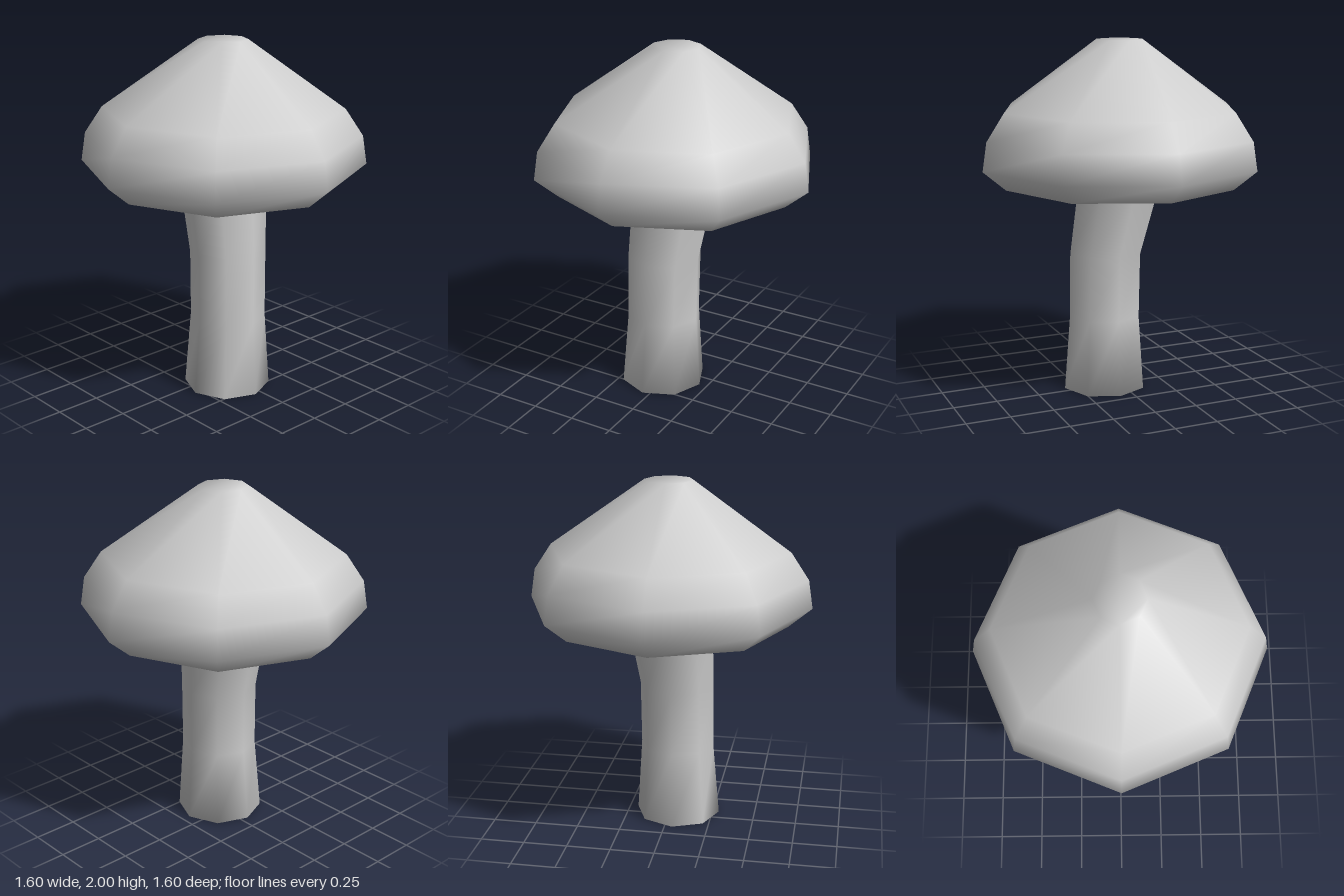
import * as THREE from 'three';

const SIDES = 8;

// Smooth skin over octagonal rings [y, radius, centreX, centreZ], listed bottom to top
function ringSkin(rings) {
  const pos = [], index = [];
  for (const [y, r, cx, cz] of rings) {
    for (let i = 0; i < SIDES; i++) {
      const a = (i / SIDES) * Math.PI * 2;
      pos.push(cx + r * Math.sin(a), y, cz + r * Math.cos(a));
    }
  }
  for (let k = 0; k < rings.length - 1; k++) {
    for (let i = 0; i < SIDES; i++) {
      const j = (i + 1) % SIDES;
      const a = k * SIDES + i, b = k * SIDES + j;
      index.push(a, b, b + SIDES, a, b + SIDES, a + SIDES);
    }
  }
  // Close both ends with fans
  const top = (rings.length - 1) * SIDES;
  for (let i = 1; i < SIDES - 1; i++) {
    index.push(0, i + 1, i);
    index.push(top, top + i, top + i + 1);
  }
  const geo = new THREE.BufferGeometry();
  geo.setAttribute('position', new THREE.Float32BufferAttribute(pos, 3));
  geo.setIndex(index);
  geo.computeVertexNormals();
  return geo;
}

export function createModel() {
  const model = new THREE.Group();
  model.name = 'mushroom';
  const material = new THREE.MeshStandardMaterial({ color: 0xcccccc });

  const add = (name, rings) => {
    const mesh = new THREE.Mesh(ringSkin(rings), material);
    mesh.name = name;
    model.add(mesh);
  };

  // Stem: bends off centre towards the foot, flares at both ends
  add('stem', [
    [0, 0.245, 0.08, 0.043],
    [0.43, 0.213, 0.08, 0.037],
    [0.8, 0.214, 0.075, 0.033],
    [1.2, 0.245, 0.003, 0.004],
    [1.29, 0.25, 0, 0],
  ]);

  // Cap: hollowed underside, rolled rim, cone with a small flat tip
  add('cap', [
    [1.28, 0.24, 0, 0],
    [1.2, 0.67, 0, 0],
    [1.31, 0.8, 0, 0],
    [1.47, 0.775, 0, 0],
    [1.62, 0.675, 0, 0],
    [2, 0.137, 0, 0],
  ]);

  return model;
}
